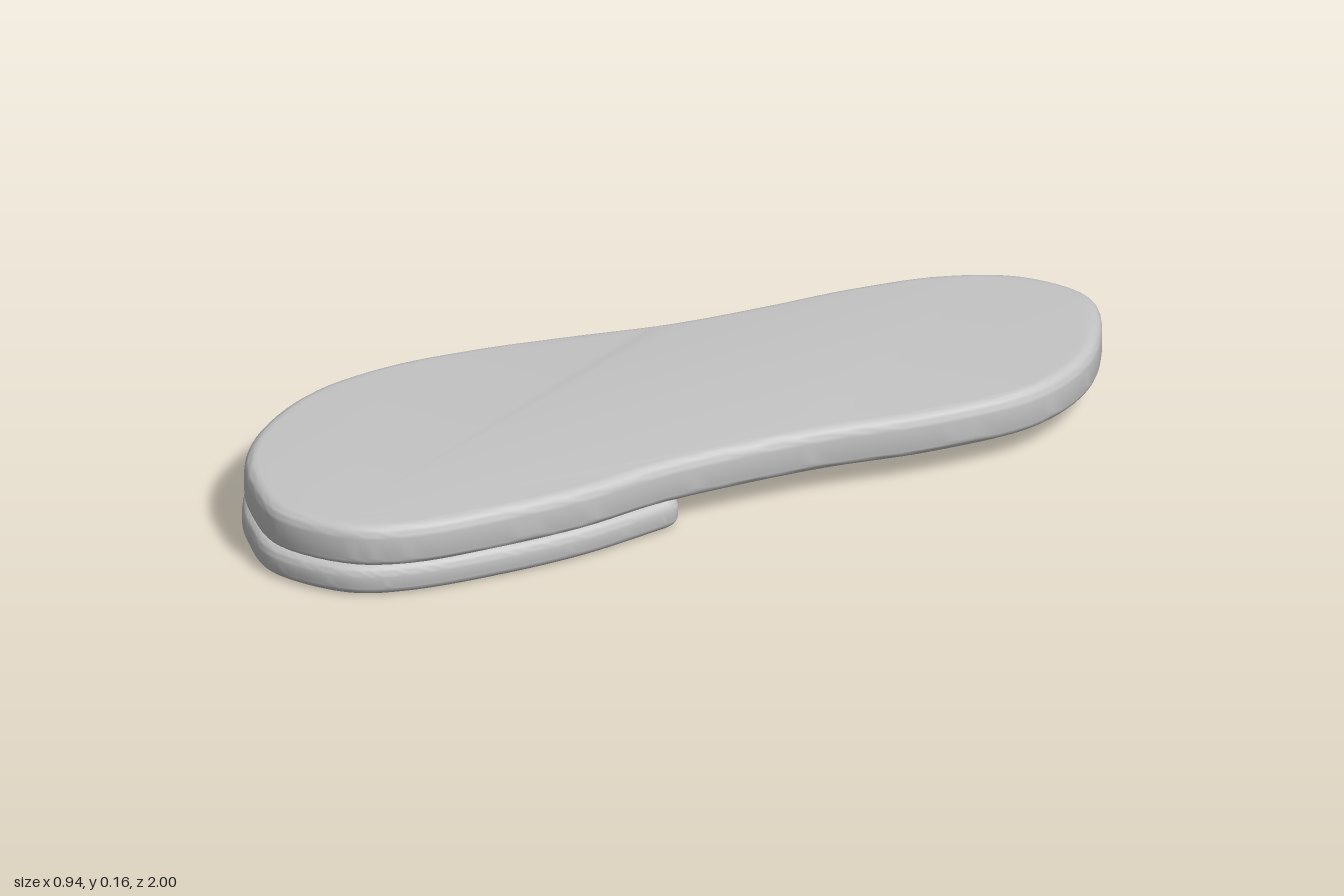
import * as THREE from 'three';
import { toCreasedNormals } from 'three/addons/utils/BufferGeometryUtils.js';

const v = ([x, z]) => new THREE.Vector2(x, z);

// Rounded slab lying flat between two heights, from an outline in x and z
function slab(name, shape, bottom, top, side, rise, material) {
  const geometry = new THREE.ExtrudeGeometry(shape, {
    depth: top - bottom - 2 * rise,
    bevelThickness: rise,
    bevelSize: side,
    bevelOffset: -side,
    bevelSegments: 6,
    curveSegments: 10,
  });
  geometry.rotateX(Math.PI / 2);
  geometry.translate(0, top - rise, 0);
  const mesh = new THREE.Mesh(toCreasedNormals(geometry, 0.7), material);
  mesh.name = name;
  return mesh;
}

export function createModel() {
  const group = new THREE.Group();
  group.name = 'shoeSole';
  const grey = new THREE.MeshStandardMaterial({ color: 0xc4c4c4 });
  grey.name = 'grey';

  // Full foot outline, from the back round the left side to the toe and back
  const foot = [
    [0.19, -1], [0.34, -0.91], [0.425, -0.8], [0.467, -0.64], [0.425, -0.4],
    [0.35, -0.18], [0.305, 0], [0.268, 0.2], [0.258, 0.4], [0.222, 0.6],
    [0.165, 0.8], [0.09, 0.91], [-0.07, 0.985], [-0.2, 0.955], [-0.3, 0.9],
    [-0.395, 0.79], [-0.466, 0.6], [-0.462, 0.4], [-0.41, 0.2], [-0.335, 0],
    [-0.255, -0.2], [-0.2, -0.4], [-0.153, -0.6], [-0.08, -0.8], [0.03, -0.94],
  ].map(v);
  const outline = new THREE.CatmullRomCurve3(
    foot.map((p) => new THREE.Vector3(p.x, p.y, 0)), true);
  const soleShape = new THREE.Shape(
    outline.getPoints(140).slice(0, -1).map((p) => new THREE.Vector2(p.x, p.y)));
  group.add(slab('upperSole', soleShape, 0.062, 0.163, 0.028, 0.028, grey));

  // Front pad under the ball and toes, cut off by a slanted straight edge
  const pad = new THREE.Shape();
  pad.moveTo(-0.33, 0.045);
  pad.lineTo(0.245, 0.15);
  pad.quadraticCurveTo(0.275, 0.157, 0.272, 0.2);
  pad.splineThru([
    [0.265, 0.4], [0.23, 0.6], [0.172, 0.8], [0.09, 0.925], [-0.07, 0.997],
    [-0.2, 0.965], [-0.3, 0.905], [-0.397, 0.795], [-0.47, 0.6],
    [-0.465, 0.4], [-0.415, 0.2], [-0.37, 0.08],
  ].map(v));
  pad.quadraticCurveTo(-0.357, 0.04, -0.33, 0.045);
  group.add(slab('frontPad', pad, 0.002, 0.073, 0.024, 0.026, grey));

  // Stand on the ground
  group.position.y = -0.002;
  return group;
}
